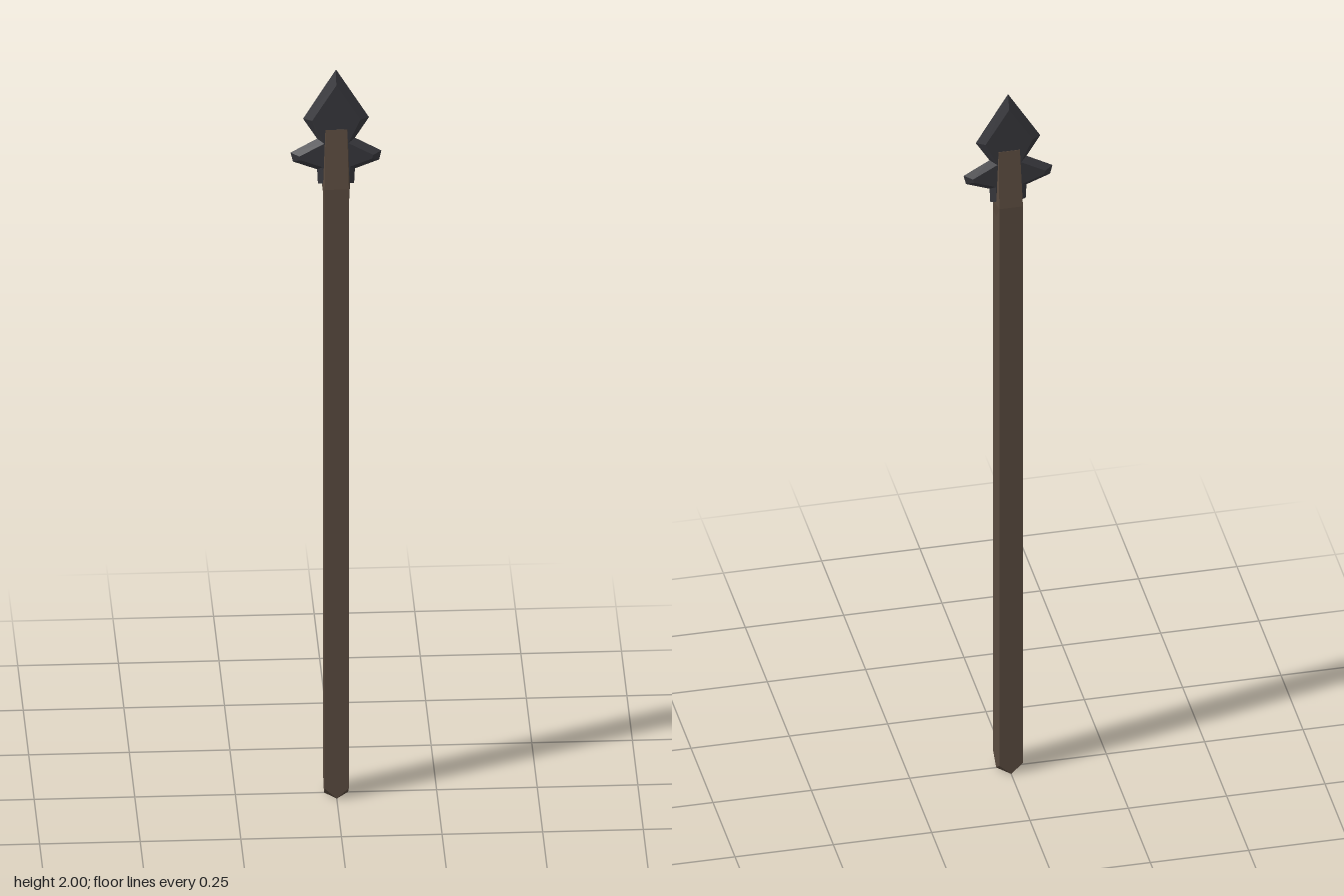
import * as THREE from 'three';

const wood = new THREE.MeshStandardMaterial({ name: 'dark wood', color: 0x594a3e, flatShading: true });
const iron = new THREE.MeshStandardMaterial({ name: 'dark iron', color: 0x37373c, flatShading: true });

// Mesh from a list of triangles, each three [x, y, z] corners
function facetedMesh(name, tris, material) {
  const geo = new THREE.BufferGeometry();
  geo.setAttribute('position', new THREE.Float32BufferAttribute(tris.flat(2), 3));
  geo.computeVertexNormals();
  const mesh = new THREE.Mesh(geo, material);
  mesh.name = name;
  return mesh;
}

// Shaft: eight-point rings (side middles and corners), tapering into the two prongs
function makeShaft() {
  const ring = (y, cornerX, sideX, z, cornerY = y) => [
    [sideX, y, 0], [cornerX, cornerY, z], [0, y, z], [-cornerX, cornerY, z],
    [-sideX, y, 0], [-cornerX, cornerY, -z], [0, y, -z], [cornerX, cornerY, -z],
  ];
  const rings = [
    ring(0, 0.03, 0.03, 0.036, 0.028),
    ring(1.64, 0.03, 0.03, 0.036),
    ring(1.685, 0.03, 0.035, 0.036),
    ring(1.84, 0.027, 0.03, 0.015),
  ];
  const tris = [];
  for (let r = 0; r < rings.length - 1; r++) {
    for (let i = 0; i < 8; i++) {
      const j = (i + 1) % 8, a = rings[r], b = rings[r + 1];
      tris.push([a[i], b[i], a[j]], [a[j], b[i], b[j]]);
    }
  }
  // Butt: flat diamond with the four corners cut away
  const butt = rings[0], top = rings[rings.length - 1];
  for (let i = 0; i < 8; i += 2) {
    const next = butt[(i + 2) % 8];
    tris.push([[0, 0, 0], butt[i], next], [butt[i], butt[i + 1], next]);
  }
  for (let i = 0; i < 8; i++) tris.push([[0, 1.84, 0], top[(i + 1) % 8], top[i]]);
  return facetedMesh('shaft', tris, wood);
}

// Head: barbed outline with a sharp edge, bevelled up to flat faces front and back
function makeHead() {
  const edge = [[0, 2], [0.082, 1.866], [0.047, 1.81], [0.113, 1.773],
    [0.107, 1.748], [0.047, 1.725], [0.045, 1.685]];
  const face = [[0, 1.962], [0.06, 1.866], [0.03, 1.802], [0.092, 1.768],
    [0.089, 1.758], [0.034, 1.737], [0.032, 1.692]];
  // Mirror the right half and run counter-clockwise
  const close = (half) => [...half, ...half.slice(1).reverse().map(([x, y]) => [-x, y])]
    .reverse().map(([x, y]) => new THREE.Vector2(x, y));
  const outer = close(edge), inner = close(face);
  const tris = [];
  const n = outer.length;
  for (const s of [1, -1]) {
    const add = (a, b, c) => tris.push(s > 0 ? [a, b, c] : [a, c, b]);
    const o = outer.map((p) => [p.x, p.y, 0]);
    const f = inner.map((p) => [p.x, p.y, s * 0.014]);
    for (let i = 0; i < n; i++) {
      const j = (i + 1) % n;
      add(o[i], o[j], f[i]);
      add(o[j], f[j], f[i]);
    }
    for (const [a, b, c] of THREE.ShapeUtils.triangulateShape(inner, [])) add(f[a], f[b], f[c]);
  }
  return facetedMesh('spearHead', tris, iron);
}

export function createModel() {
  const group = new THREE.Group();
  group.name = 'spear';
  group.add(makeShaft(), makeHead());
  return group;
}
